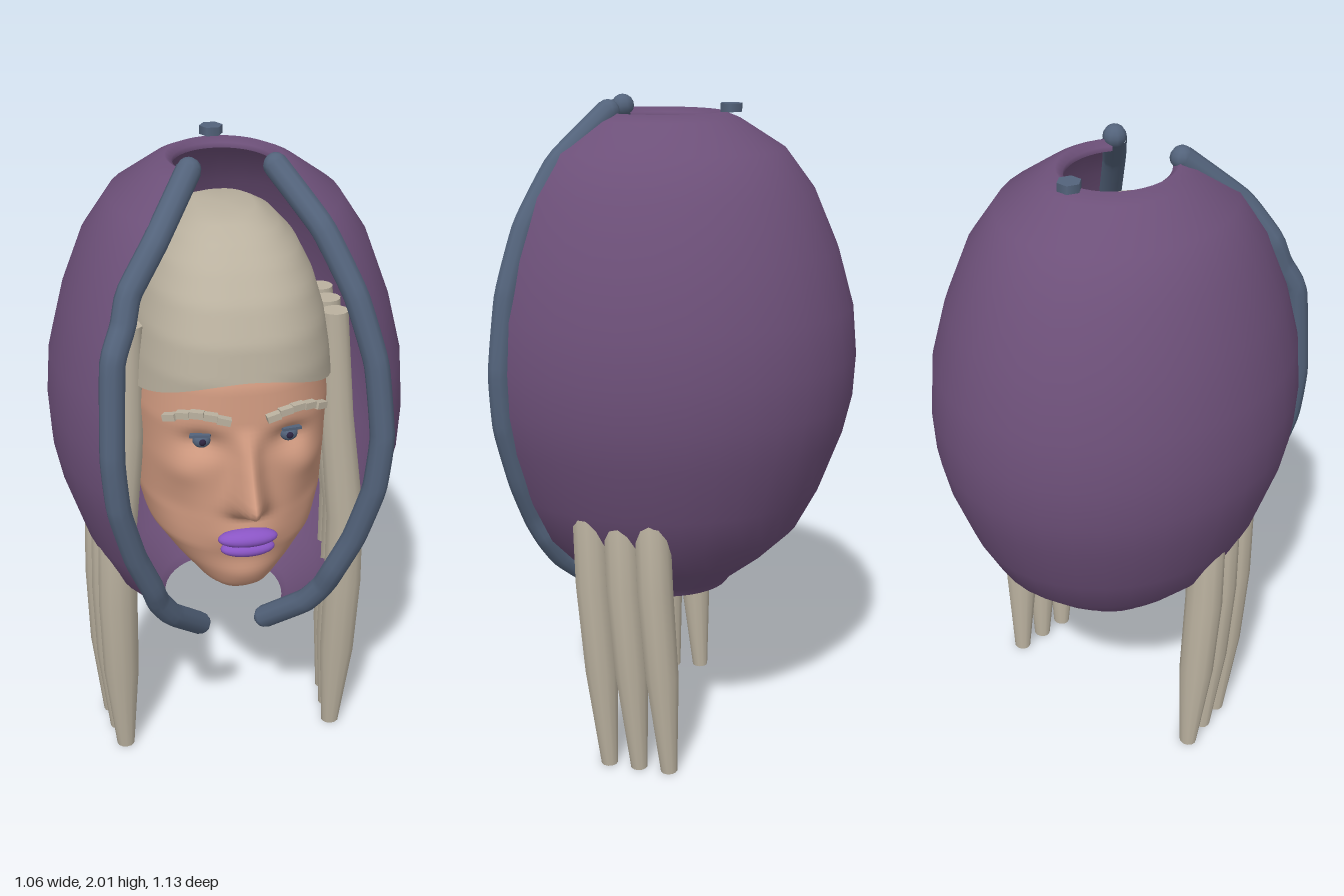
import * as THREE from 'three';

const mat = (name, color, side = THREE.FrontSide) => {
  const m = new THREE.MeshStandardMaterial({ color, side });
  m.name = name;
  return m;
};

// Linear lookup in a table of rows [key, value, value, ...]
function at(table, k) {
  let i = 0;
  while (i < table.length - 2 && k > table[i + 1][0]) i++;
  const a = table[i], b = table[i + 1];
  const t = THREE.MathUtils.clamp((k - a[0]) / (b[0] - a[0]), 0, 1);
  return a.map((v, n) => THREE.MathUtils.lerp(v, b[n], t));
}

// Closed rings stacked from bottom to top; point(row, angle) gives [x, y, z]
function loft(rows, cols, point) {
  const pos = [], idx = [];
  for (let i = 0; i < rows; i++) {
    for (let j = 0; j < cols; j++) {
      pos.push(...point(i, (j / cols) * Math.PI * 2));
      if (i === rows - 1) continue;
      const a = i * cols + j, b = i * cols + ((j + 1) % cols);
      idx.push(a, b, a + cols, b, b + cols, a + cols);
    }
  }
  const g = new THREE.BufferGeometry();
  g.setAttribute('position', new THREE.Float32BufferAttribute(pos, 3));
  g.setIndex(idx);
  g.computeVertexNormals();
  return g;
}

// Rounded-square head section: half width, front z and back z
const CZ = 0.04;
function section(ang, w, front, back) {
  const s = Math.sin(ang), c = Math.cos(ang), n = 2.5;
  const r = 1 / Math.pow(Math.abs(s) ** n + Math.abs(c) ** n, 1 / n);
  return [s * r * w, CZ + c * r * (c > 0 ? front - CZ : CZ - back)];
}

const bump = (x, y, cx, cy, sx, sy) =>
  Math.exp(-(((x - cx) / sx) ** 2) - ((y - cy) / sy) ** 2);

// y, half width, front z, back z
const HEAD = [
  [0.72, 0.11, 0.34, -0.02], [0.75, 0.14, 0.375, -0.06], [0.82, 0.20, 0.395, -0.12],
  [0.90, 0.256, 0.41, -0.2], [1.0, 0.28, 0.42, -0.27], [1.2, 0.287, 0.425, -0.32],
  [1.3, 0.293, 0.43, -0.33], [1.42, 0.28, 0.42, -0.33], [1.6, 0.23, 0.35, -0.25], [1.7, 0.16, 0.25, -0.15],
];
const HAIR = [
  [1.0, 0.3, 0.42, -0.34], [1.36, 0.303, 0.438, -0.36], [1.45, 0.292, 0.446, -0.36],
  [1.55, 0.275, 0.43, -0.34], [1.65, 0.245, 0.385, -0.3], [1.73, 0.205, 0.32, -0.25],
  [1.79, 0.15, 0.25, -0.18], [1.83, 0.085, 0.155, -0.075],
];
// y, ridge height, ridge width
const NOSE = [
  [1.01, 0, 0.05], [1.045, 0.07, 0.05], [1.075, 0.13, 0.044], [1.1, 0.14, 0.04],
  [1.16, 0.09, 0.034], [1.22, 0.05, 0.03], [1.3, 0, 0.035],
];

function facePoint(y, ang) {
  const [, w, f, b] = at(HEAD, y);
  let [x, z] = section(ang, w, f, b);
  if (z > 0.15) {
    const ax = Math.abs(x), [, h, nw] = at(NOSE, y);
    z += h * Math.exp(-((x / nw) ** 2));
    z -= 0.035 * bump(ax, y, 0.125, 1.25, 0.055, 0.04);
    z += 0.018 * bump(ax, y, 0.19, 1.16, 0.06, 0.05);
    z -= 0.015 * bump(ax, y, 0.2, 1.02, 0.06, 0.06);
    z += 0.02 * bump(x, y, 0, 0.94, 0.09, 0.05);
    z += 0.018 * bump(x, y, 0, 0.8, 0.08, 0.05);
  }
  return [x, y, z];
}

function headGeometry() {
  const n = 72;
  return loft(n + 3, 128, (i, ang) => {
    if (i === 0) return [0, 0.72, 0.16];
    const y = 0.72 + 0.98 * THREE.MathUtils.clamp((i - 2) / n, 0, 1);
    return facePoint(y, ang);
  });
}

// Cap with an arched fringe and a small flat crown
function hairGeometry() {
  const n = 24;
  return loft(n + 4, 72, (i, ang) => {
    const sx = Math.sin(ang);
    const hem = Math.cos(ang) > 0
      ? 1.452 - 0.1 * Math.min(1, (section(ang, 1, 1, -1)[0]) ** 2)
      : 1.352 - 0.3 * (1 - Math.abs(sx));
    if (i === n + 3) return [0, 1.83, CZ];
    const v = THREE.MathUtils.clamp((i - 2) / n, 0, 1);
    const y = hem + (1.83 - hem) * v;
    const [, w, f, b] = at(HAIR, y);
    const [x, z] = section(ang, w, f, b);
    const k = i === 0 ? 0.93 : 1;
    return [x * k, y, CZ + (z - CZ) * k];
  });
}

// Tapered lock of hair; path rows are [y, x, z, radius], bottom first
function lockGeometry(path, side) {
  const n = path.length;
  return loft(n + 4, 12, (i, ang) => {
    const [y, x, z, r] = path[THREE.MathUtils.clamp(i - 2, 0, n - 1)];
    const k = i === 0 || i === n + 3 ? 0 : r;
    return [side * x + Math.sin(ang) * k * 1.1, y, z + Math.cos(ang) * k];
  });
}

export function createModel() {
  const hoodMat = mat('hood purple', 0x6d5079, THREE.DoubleSide);
  const hairMat = mat('hair beige', 0xbab19f, THREE.DoubleSide);
  const skinMat = mat('skin', 0xd09a80);
  const trimMat = mat('slate blue', 0x53637b);
  const lipMat = mat('lip violet', 0x8a55c4);
  const pupilMat = mat('pupil dark', 0x2c2440);

  const model = new THREE.Group();
  const add = (name, geo, material, x = 0, y = 0, z = 0) => {
    const m = new THREE.Mesh(geo, material);
    m.name = name;
    m.position.set(x, y, z);
    model.add(m);
    return m;
  };

  // Open-fronted hood
  const profile = [
    [0.19, 0.495], [0.205, 0.52], [0.30, 0.605], [0.385, 0.70], [0.445, 0.83], [0.50, 1.0],
    [0.524, 1.12], [0.53, 1.25], [0.518, 1.4], [0.475, 1.57], [0.41, 1.74], [0.33, 1.86],
    [0.21, 1.945], [0.165, 1.965], [0.145, 1.95], [0.145, 1.935],
  ].map(([r, y]) => new THREE.Vector2(r, y));
  const open = THREE.MathUtils.degToRad(48);
  const hood = add('hood', new THREE.LatheGeometry(profile, 28, open, Math.PI * 2 - open * 2), hoodMat, 0, 0, 0.035);
  hood.scale.z = 1.13;

  add('hoodStud', new THREE.CylinderGeometry(0.035, 0.035, 0.025, 6).rotateY(Math.PI / 6), trimMat, 0, 1.977, -0.175);

  // Head and hair cap
  add('head', headGeometry(), skinMat);
  add('hairCap', hairGeometry(), hairMat);

  for (const s of [1, -1]) {
    const side = s > 0 ? 'left' : 'right';

    // Padded trim along the hood opening, with a kink on one side
    const upper = s > 0
      ? [[0.225, 1.83, 0.30], [0.305, 1.66, 0.38], [0.36, 1.47, 0.425]]
      : [[0.235, 1.82, 0.31], [0.315, 1.70, 0.36], [0.335, 1.62, 0.385], [0.37, 1.53, 0.42]];
    const pts = [
      [0.12, 1.97, 0.17], ...upper, [0.383, 1.25, 0.445], [0.37, 1.08, 0.44], [0.325, 0.9, 0.41],
      [0.275, 0.77, 0.38], [0.255, 0.7, 0.35], [0.21, 0.62, 0.31], [0.105, 0.495, 0.2],
    ].map(([x, y, z]) => new THREE.Vector3(s * x, y, z));
    const curve = new THREE.CatmullRomCurve3(pts, false, 'catmullrom', 0.2);
    add(side + 'Trim', new THREE.TubeGeometry(curve, 60, 0.036, 10), trimMat);
    for (const p of [pts[0], pts[pts.length - 1]]) {
      add(side + 'TrimEnd', new THREE.SphereGeometry(0.035, 10, 8), trimMat, p.x, p.y, p.z);
    }

    // Three long locks passing out under the hood
    for (let k = 0; k < 3; k++) {
      const z = 0.195 - k * 0.095, dx = k * 0.012;
      add(side + 'Lock', lockGeometry([
        [0, 0.35 + dx, z - 0.05, 0.026], [0.32, 0.357 + dx, z - 0.03, 0.051],
        [0.6, 0.36 + dx, z - 0.01, 0.055], [0.85, 0.355 + dx, z, 0.053],
        [1.2, 0.315, z, 0.047], [1.54, 0.297, z, 0.036],
      ], s), hairMat);
    }

    // Eye with pupil and upper lid
    const ez = 0.385;
    add(side + 'Eye', new THREE.SphereGeometry(0.026, 16, 12), trimMat, s * 0.125, 1.258, ez).scale.set(1, 0.9, 0.8);
    add(side + 'Pupil', new THREE.SphereGeometry(0.011, 12, 8), pupilMat, s * 0.125, 1.258, ez + 0.015);
    const lid = add(side + 'EyeLid', new THREE.BoxGeometry(0.06, 0.008, 0.02), trimMat, s * 0.13, 1.277, ez + 0.008);
    lid.rotation.set(0, s * 0.3, s * -0.1);

    // Eyebrow of five short blocks following the forehead
    for (let k = 0; k < 5; k++) {
      const x = 0.07 + k * 0.036;
      const y = 1.338 + 0.016 * Math.sin((k / 4) * Math.PI);
      const z = facePoint(y, Math.atan2(x / 0.29, 1))[2] + 0.012;
      const brow = add(side + 'Eyebrow', new THREE.BoxGeometry(0.039, 0.02, 0.022), hairMat, s * x, y, z);
      brow.rotation.set(0, s * (0.1 + k * 0.13), s * (0.25 - k * 0.12));
    }
  }

  // Lips
  const lip = new THREE.SphereGeometry(1, 24, 14);
  add('upperLip', lip, lipMat, 0, 0.953, 0.437).scale.set(0.088, 0.027, 0.036);
  add('lowerLip', lip, lipMat, 0, 0.918, 0.435).scale.set(0.08, 0.025, 0.036);

  return model;
}
